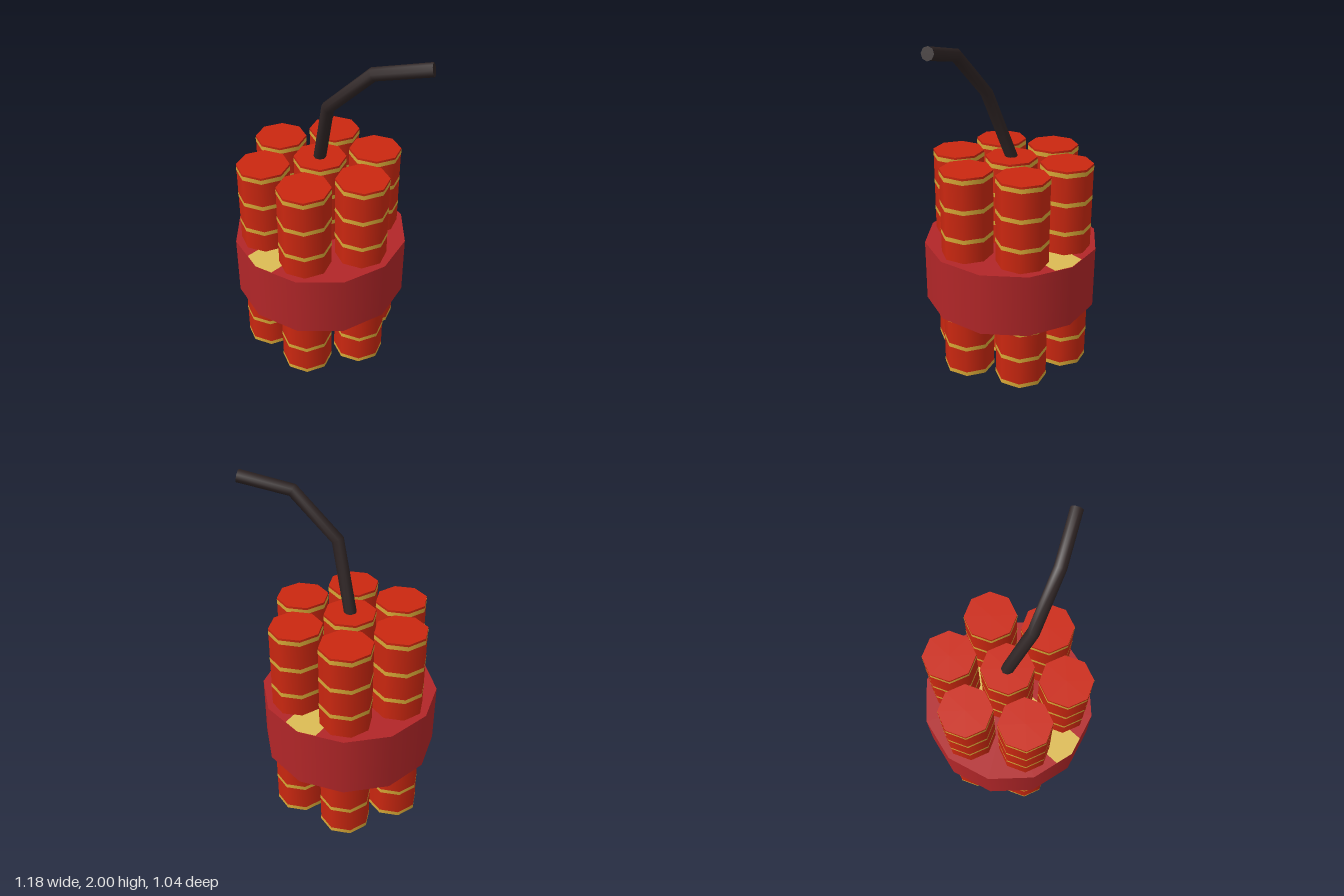
import * as THREE from 'three';

const mat = (name, color, side = THREE.FrontSide) => {
  const m = new THREE.MeshStandardMaterial({ color, side });
  m.name = name;
  return m;
};

export function createModel() {
  const red = mat('stick red', 0xcb2710);
  const gold = mat('ring gold', 0xd9a836, THREE.DoubleSide);
  const crimson = mat('strap crimson', 0xb22628);
  const pale = mat('pale gold', 0xdcbb54);
  const black = mat('fuse black', 0x2e2424);

  const model = new THREE.Group();
  const add = (parent, name, geometry, material, x = 0, y = 0, z = 0) => {
    const mesh = new THREE.Mesh(geometry, material);
    mesh.name = name;
    mesh.position.set(x, y, z);
    parent.add(mesh);
    return mesh;
  };

  // Bundle of seven eight-sided sticks with evenly spaced rings
  const bundle = new THREE.Group();
  bundle.name = 'bundle';
  bundle.position.x = -0.067;
  model.add(bundle);
  const stickGeo = new THREE.CylinderGeometry(0.15, 0.15, 1.26, 8);
  const ringGeo = new THREE.CylinderGeometry(0.1515, 0.1515, 0.026, 8, 1, true);
  const centres = [[0, 0]];
  for (let i = 0; i < 6; i++) {
    const a = (i * Math.PI) / 3;
    centres.push([0.33 * Math.cos(a), 0.33 * Math.sin(a)]);
  }
  for (const [x, z] of centres) {
    const stick = new THREE.Group();
    stick.name = 'stick';
    stick.position.set(x, 0, z);
    bundle.add(stick);
    add(stick, 'stickBody', stickGeo, red, 0, 0.64, 0);
    for (let k = 0; k < 8; k++) add(stick, 'stickRing', ringGeo, gold, 0, 0.013 + k * 0.176, 0);
  }

  // Twelve-sided strap with a pale stripe across both flat faces
  add(bundle, 'strap', new THREE.CylinderGeometry(0.518, 0.518, 0.375, 12), crimson, 0, 0.5725, 0);
  const w = 0.103;
  const stripe = new THREE.Shape([
    [-w, -0.49], [0, -0.518], [w, -0.49], [w, 0.49], [0, 0.518], [-w, 0.49],
  ].map(([x, y]) => new THREE.Vector2(x, y)));
  const stripeGeo = new THREE.ShapeGeometry(stripe);
  add(bundle, 'stripeTop', stripeGeo, pale, 0, 0.763, 0).rotation.x = -Math.PI / 2;
  add(bundle, 'stripeBottom', stripeGeo, pale, 0, 0.382, 0).rotation.x = Math.PI / 2;

  // Bent fuse: straight sections between the path points
  const points = [
    [-0.07, 1.26, 0], [0.06, 1.65, 0.065], [0.31, 1.9, 0.002], [0.573, 1.966, -0.132],
  ].map((p) => new THREE.Vector3(...p));
  const path = new THREE.CatmullRomCurve3(points);
  path.getPointAt = (u, target) => path.getPoint(u, target);
  path.getTangentAt = (u, target) => path.getTangent(u, target);
  add(model, 'fuse', new THREE.TubeGeometry(path, 3, 0.036, 8), black);
  const tip = points[3];
  const cap = add(model, 'fuseTip', new THREE.CircleGeometry(0.036, 8), black, tip.x, tip.y, tip.z);
  cap.lookAt(tip.clone().add(path.getTangent(1)));

  return model;
}
